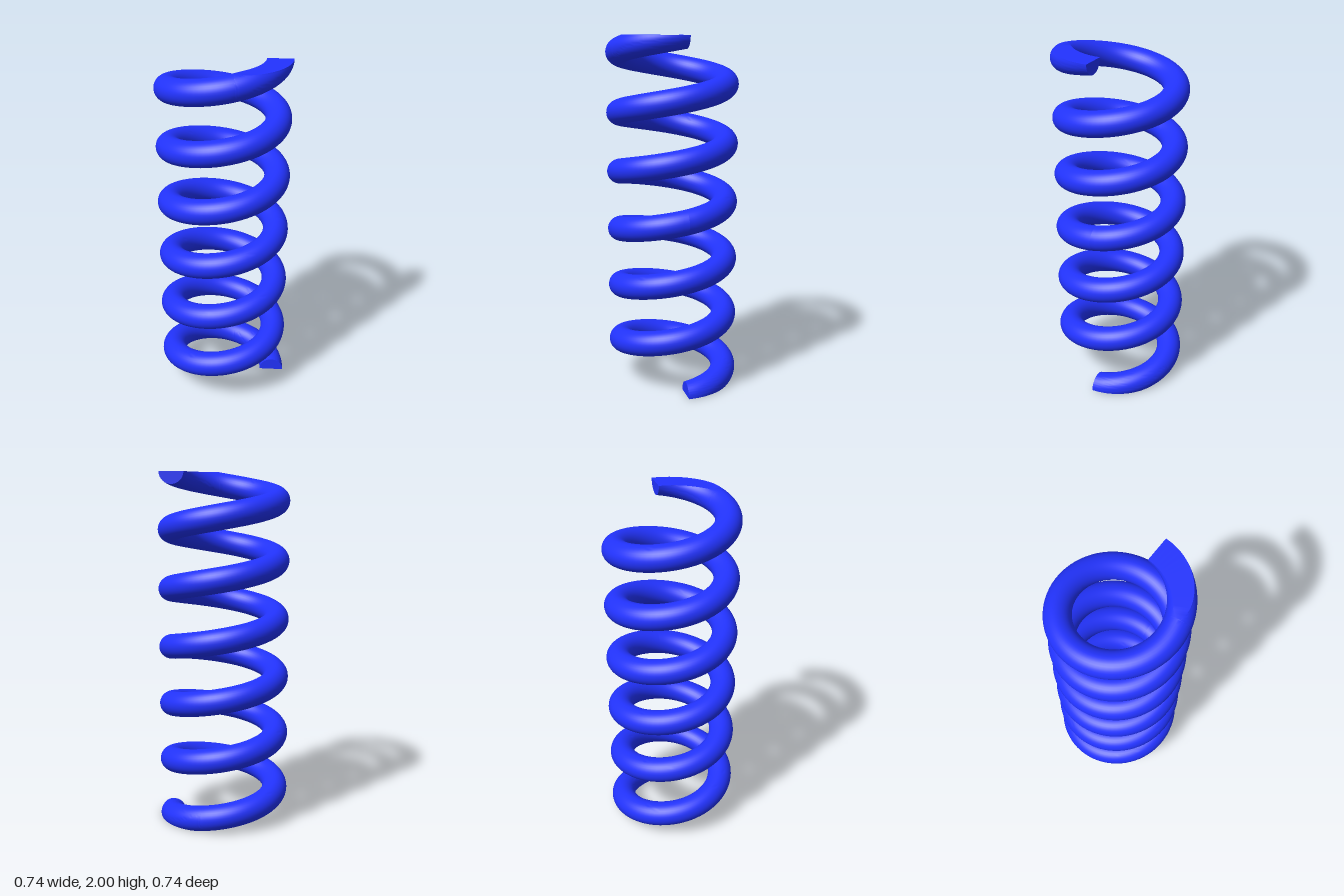
import * as THREE from 'three';
import { toCreasedNormals } from 'three/addons/utils/BufferGeometryUtils.js';

const COIL_R = 0.3, WIRE_R = 0.0715, HEIGHT = 2, TURNS = 6;
const SIDES = 36, STEPS_PER_TURN = 72, CUT_STEPS = 24;

// Lower half of the spring: a round wire swept along a helix, ground flat at y = 0
function halfSpringGeometry() {
  const pitch = HEIGHT / TURNS;
  const sections = [];
  // ground sections: the circle is cut by the floor, leaving an arc closed by a chord
  for (let i = 0; i <= CUT_STEPS; i++) {
    const a = (i / CUT_STEPS) * Math.PI / 2;
    sections.push({ y: WIRE_R * Math.sin(a), start: -a });
  }
  // full round sections up to mid height
  const steps = STEPS_PER_TURN * TURNS / 2;
  for (let i = 1; i <= steps; i++) {
    sections.push({ y: WIRE_R + (HEIGHT / 2 - WIRE_R) * i / steps, start: -Math.PI / 2 });
  }

  const positions = [], index = [];
  const ring = SIDES + 1;
  sections.forEach(({ y, start }) => {
    const turn = (y / pitch) * Math.PI * 2;
    for (let j = 0; j <= SIDES; j++) {
      const a = start + (Math.PI - 2 * start) * j / SIDES;
      const r = COIL_R + WIRE_R * Math.cos(a);
      positions.push(r * Math.cos(turn), Math.max(0, y + WIRE_R * Math.sin(a)), -r * Math.sin(turn));
    }
  });
  for (let i = 0; i < sections.length - 1; i++) {
    const facets = i < CUT_STEPS ? ring : SIDES; // the extra facet is the ground flat
    for (let j = 0; j < facets; j++) {
      const k = (j + 1) % ring;
      const a = i * ring + j, b = a + ring, c = i * ring + k, d = c + ring;
      index.push(a, b, c);
      // the flat narrows to a point at its last section
      if (!(j === SIDES && i === CUT_STEPS - 1)) index.push(b, d, c);
    }
  }
  // end face of the wire
  for (let j = 1; j < SIDES; j++) index.push(0, j, j + 1);

  const geometry = new THREE.BufferGeometry();
  geometry.setAttribute('position', new THREE.Float32BufferAttribute(positions, 3));
  geometry.setIndex(index);
  return toCreasedNormals(geometry, 0.6);
}

export function createModel() {
  const spring = new THREE.Group();
  spring.name = 'coilSpring';
  const material = new THREE.MeshStandardMaterial({ color: 0x2233ff });
  const geometry = halfSpringGeometry();

  const lower = new THREE.Mesh(geometry, material);
  lower.name = 'lowerCoils';

  // the upper half is the lower one turned over
  const upper = new THREE.Mesh(geometry, material);
  upper.name = 'upperCoils';
  upper.rotation.x = Math.PI;
  upper.position.y = HEIGHT;

  spring.add(lower, upper);
  return spring;
}
